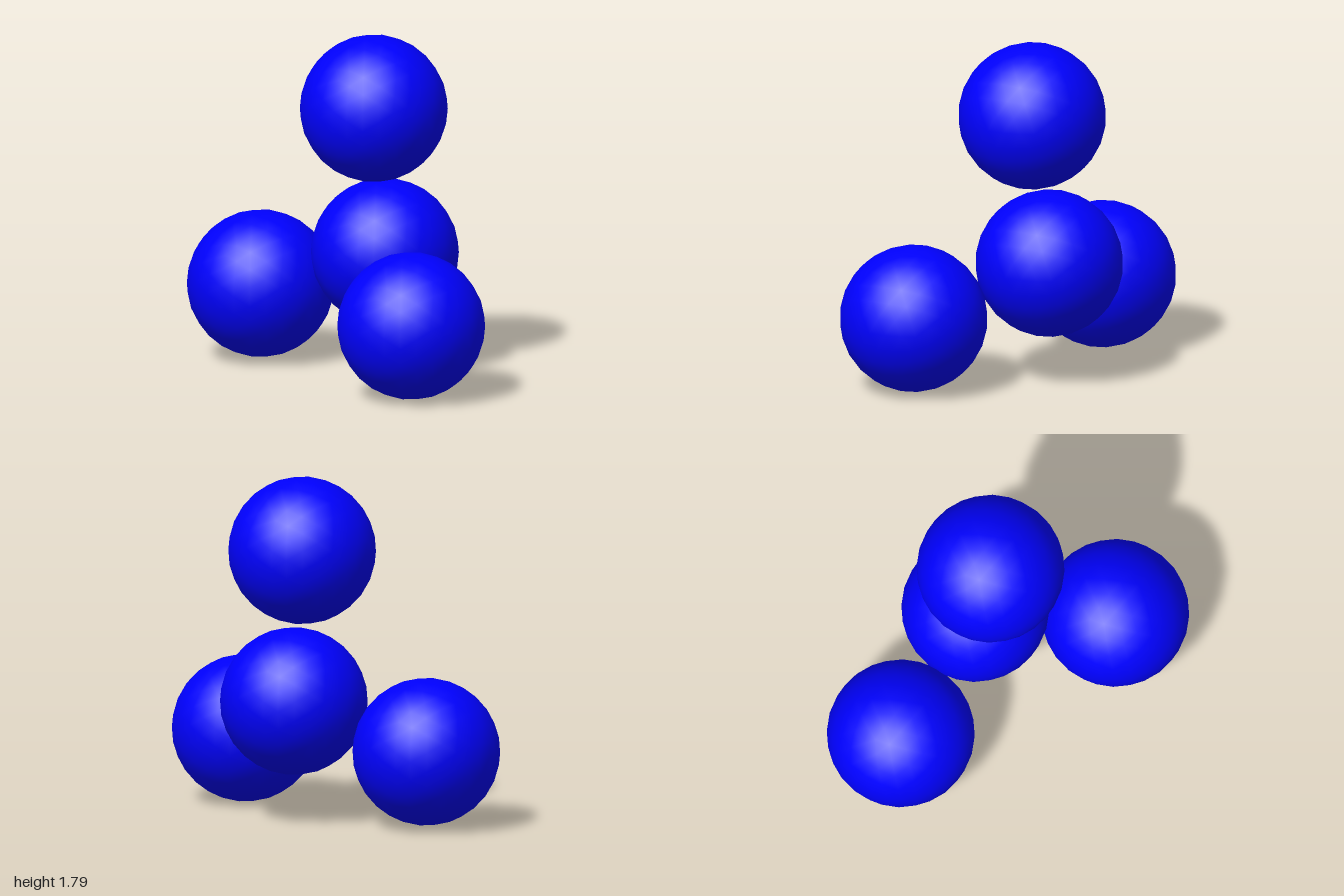
import * as THREE from 'three';

const RADIUS = 0.385;

// Ball centres: one hub with three neighbours around it
const BALLS = [
  ['centreBall', 0.10, 0.635, -0.26],
  ['topBall', 0.10, 1.414, -0.157],
  ['rightBall', -0.616, 0.402, -0.167],
  ['leftBall', 0.615, 0.388, 0.258],
];

export function createModel() {
  const group = new THREE.Group();
  group.name = 'ballCluster';

  // Shared smooth-shaded sphere with a lightly faceted outline
  const geometry = new THREE.IcosahedronGeometry(RADIUS, 4);
  const material = new THREE.MeshStandardMaterial({ color: 0x0000ff });

  for (const [name, x, y, z] of BALLS) {
    const ball = new THREE.Mesh(geometry, material);
    ball.name = name;
    ball.position.set(x, y, z);
    group.add(ball);
  }
  return group;
}
